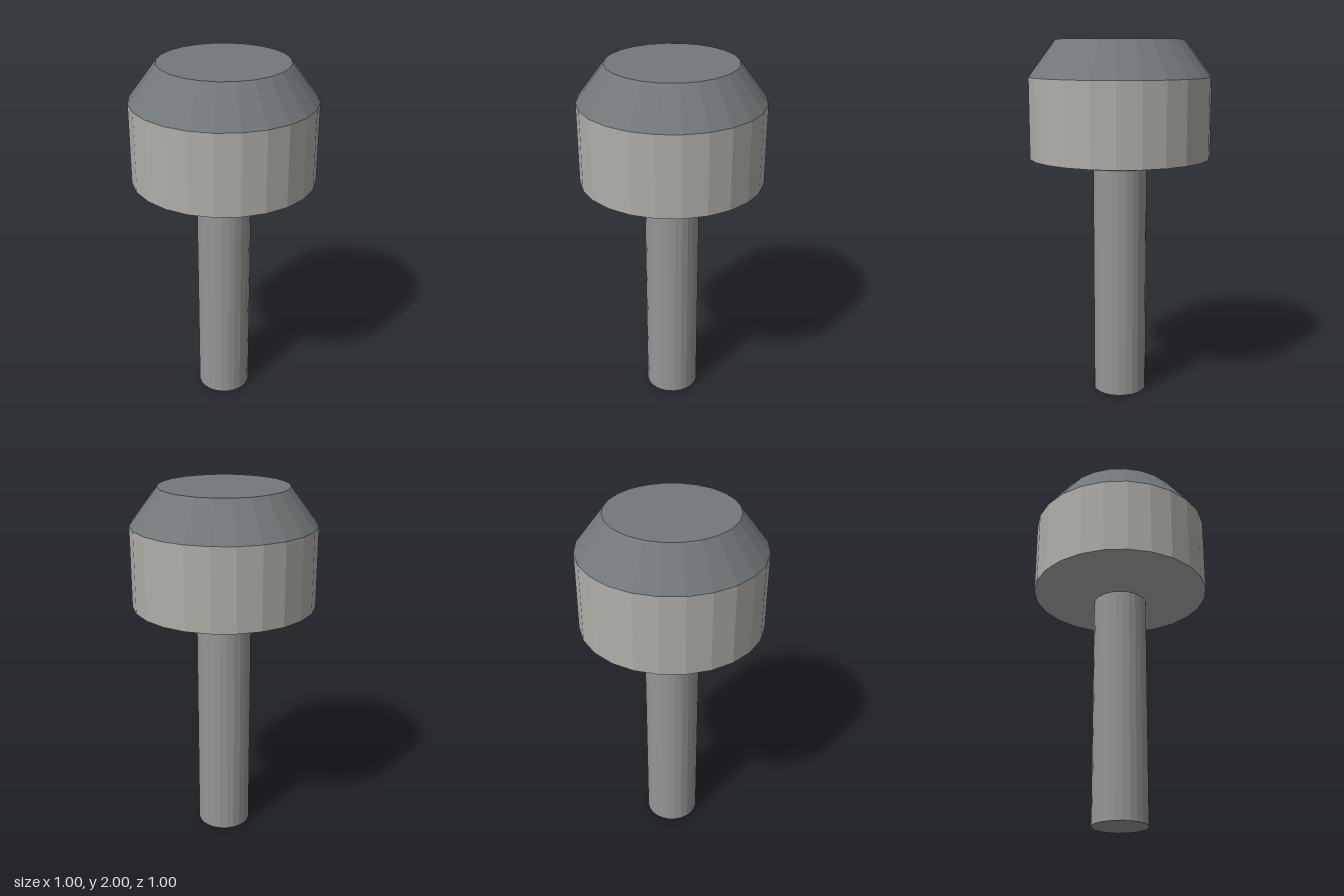
import * as THREE from 'three';

const SIDES = 24;

// Faceted solid of revolution from [radius, height] points, listed bottom to top
function turned(name, color, profile) {
  const points = profile.map(([r, y]) => new THREE.Vector2(r, y));
  const material = new THREE.MeshStandardMaterial({ color, flatShading: true });
  const mesh = new THREE.Mesh(new THREE.LatheGeometry(points, SIDES), material);
  mesh.name = name;
  return mesh;
}

export function createModel() {
  const model = new THREE.Group();
  model.name = 'mallet';

  // Straight handle, closed at the foot
  model.add(turned('handle', 0x949795, [[0, 0], [0.15, 0], [0.15, 1.3]]));

  // Drum of the head with its shallow conical underside
  model.add(turned('headDrum', 0xb0aea9, [[0.15, 1.3], [0.5, 1.36], [0.5, 1.8]]));

  // Bevelled cap with a flat top
  model.add(turned('headCap', 0x72787a, [[0.5, 1.8], [0.35, 2], [0, 2]]));

  return model;
}
